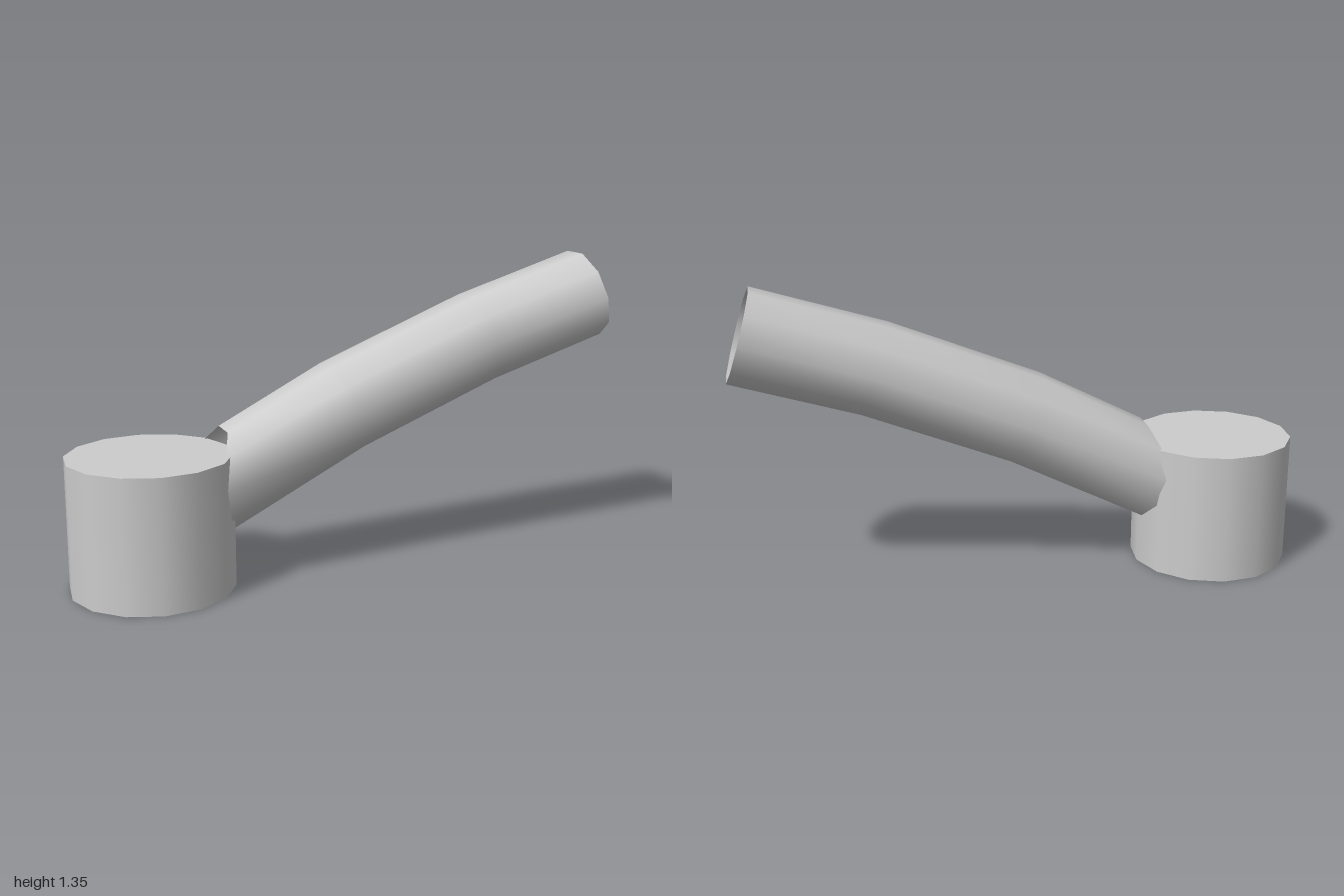
import * as THREE from 'three';

const SIDES = 10;
const RADIUS = 0.21;

// One cross-section of the pipe as [along, up, across] points,
// centred at (s, y) and leaning back by tilt.
function ring(s, y, tilt) {
  return Array.from({ length: SIDES }, (_, j) => {
    const a = (j / SIDES) * Math.PI * 2;
    const u = RADIUS * Math.sin(a);
    return [s - u * Math.sin(tilt), y + u * Math.cos(tilt), RADIUS * Math.cos(a)];
  });
}

// Lower end of the pipe, cut as a saddle to meet the round base.
function saddleRing() {
  return Array.from({ length: SIDES }, (_, j) => {
    const a = (j / SIDES) * Math.PI * 2;
    const u = Math.sin(a);
    return [-0.643 + 0.068 * u * u, 0.445 + 0.232 * u, RADIUS * Math.cos(a)];
  });
}

// Open pipe skinned through the rings; it runs on the diagonal from +z to +x.
function pipeGeometry(rings) {
  const positions = [];
  const index = [];
  const h = Math.SQRT1_2;
  for (const r of rings) {
    for (const [s, y, p] of r) positions.push((s + p) * h, y, (p - s) * h);
  }
  for (let i = 0; i < rings.length - 1; i++) {
    for (let j = 0; j < SIDES; j++) {
      const k = (j + 1) % SIDES;
      const a = i * SIDES + j, b = i * SIDES + k;
      const c = a + SIDES, d = b + SIDES;
      index.push(a, c, b, b, c, d);
    }
  }
  const geometry = new THREE.BufferGeometry();
  geometry.setAttribute('position', new THREE.Float32BufferAttribute(positions, 3));
  geometry.setIndex(index);
  geometry.computeVertexNormals();
  return geometry;
}

export function createModel() {
  const model = new THREE.Group();
  const grey = new THREE.MeshStandardMaterial({ color: 0xcccccc, side: THREE.DoubleSide });
  grey.name = 'light grey';

  // Closed round base with a corner on the x axis
  const base = new THREE.Mesh(new THREE.CylinderGeometry(0.358, 0.358, 0.585, 14), grey);
  base.name = 'base';
  base.rotation.y = Math.PI / 2;
  base.position.set(-0.642, 0.2925, 0.645);
  model.add(base);

  // Hollow pipe curving up and away from the base
  const pipe = new THREE.Mesh(
    pipeGeometry([
      saddleRing(),
      ring(-0.028, 0.725, 0.4),
      ring(0.636, 0.987, 0.335),
      ring(1.202, 1.16, 0.29),
    ]),
    grey
  );
  pipe.name = 'pipe';
  model.add(pipe);

  return model;
}
